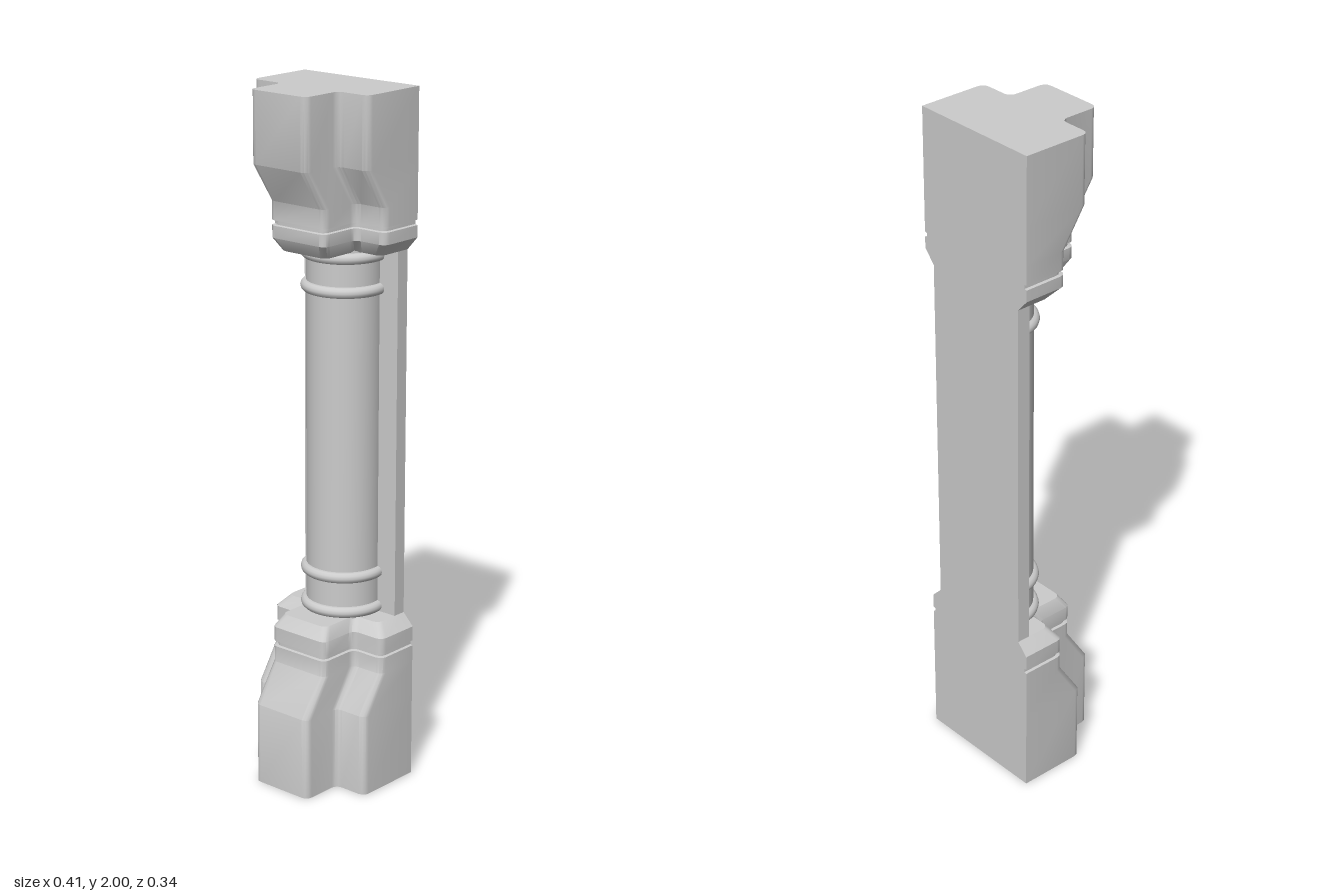
import * as THREE from 'three';
import { toCreasedNormals } from 'three/addons/utils/BufferGeometryUtils.js';

const BACK = -0.168;
const material = new THREE.MeshStandardMaterial({ color: 0xcccccc });

// T-shaped outline: half width w, tongue half width h, shoulder front f, tongue front t
function section({ w, h, f, t }) {
  const corners = [[w, BACK], [w, f], [h, f], [h, t], [-h, t], [-h, f], [-w, f], [-w, BACK]]
    .map(([x, z]) => new THREE.Vector2(x, z));
  const r = 0.02, steps = 3, points = [];
  corners.forEach((p, i) => {
    if (i === 0 || i === corners.length - 1) return points.push(p);
    const din = p.clone().sub(corners[i - 1]).normalize();
    const dout = corners[i + 1].clone().sub(p).normalize();
    for (let s = 0; s <= steps; s++) {
      const a = (s / steps) * Math.PI / 2;
      points.push(p.clone()
        .addScaledVector(din, r * (Math.sin(a) - 1))
        .addScaledVector(dout, r * (1 - Math.cos(a))));
    }
  });
  return points;
}

// Skin a stack of outlines from bottom to top and close both ends
function loft(levels) {
  const rings = levels.map(section);
  const n = rings[0].length;
  const position = [], index = [];
  rings.forEach((ring, k) => ring.forEach(p => position.push(p.x, levels[k].y, p.y)));
  for (let k = 0; k < rings.length - 1; k++) {
    for (let i = 0; i < n; i++) {
      const a = k * n + i, b = k * n + (i + 1) % n;
      index.push(a, a + n, b, b, a + n, b + n);
    }
  }
  const last = (rings.length - 1) * n;
  THREE.ShapeUtils.triangulateShape(rings[0], []).forEach(([a, b, c]) => index.push(a, b, c));
  THREE.ShapeUtils.triangulateShape(rings[rings.length - 1], [])
    .forEach(([a, b, c]) => index.push(last + a, last + c, last + b));
  const geometry = new THREE.BufferGeometry();
  geometry.setAttribute('position', new THREE.Float32BufferAttribute(position, 3));
  geometry.setIndex(index);
  return toCreasedNormals(geometry, 0.6);
}

// Levels of a block, measured from its outer end towards the column
function blockLevels(bendStart, bendEnd, groove, taper, end) {
  const wide = { w: 0.204, h: 0.1, f: 0.042, t: 0.168 };
  const neck = { w: 0.204, h: 0.1, f: -0.03, t: 0.095 };
  const inset = { w: 0.196, h: 0.092, f: -0.038, t: 0.087 };
  const tip = { w: 0.17, h: 0.082, f: -0.055, t: 0.07 };
  return [
    { y: 0, ...wide }, { y: bendStart, ...wide }, { y: bendEnd, ...neck },
    { y: groove, ...neck }, { y: groove + 0.002, ...inset },
    { y: groove + 0.013, ...inset }, { y: groove + 0.015, ...neck },
    { y: taper, ...neck }, { y: end, ...tip },
  ];
}

export function createModel() {
  const model = new THREE.Group();
  model.name = 'pilaster';
  const add = (name, geometry, x = 0, y = 0, z = 0) => {
    const mesh = new THREE.Mesh(geometry, material);
    mesh.name = name;
    mesh.position.set(x, y, z);
    model.add(mesh);
    return mesh;
  };

  // End blocks
  add('baseBlock', loft(blockLevels(0.24, 0.35, 0.397, 0.455, 0.49)));
  const top = blockLevels(0.2, 0.31, 0.363, 0.412, 0.45)
    .map(level => ({ ...level, y: 2 - level.y })).reverse();
  add('topBlock', loft(top));

  // Back panel
  add('backPanel', new THREE.BoxGeometry(0.34, 1.07, 0.04), 0, 1.02, BACK + 0.02);

  // Engaged column, its rear buried in the panel
  const columnZ = -0.105, radius = 0.108, arc = Math.PI * 7 / 6;
  add('column', new THREE.CylinderGeometry(radius, radius, 1.07, 40, 1, true, -arc / 2, arc), 0, 1.02, columnZ);

  // Ring mouldings
  for (const y of [0.506, 0.61, 1.437, 1.532]) {
    const ring = new THREE.TorusGeometry(radius, 0.016, 12, 40, arc);
    ring.rotateZ(Math.PI / 2 - arc / 2).rotateX(Math.PI / 2);
    add('columnRing', ring, 0, y, columnZ);
  }
  return model;
}
